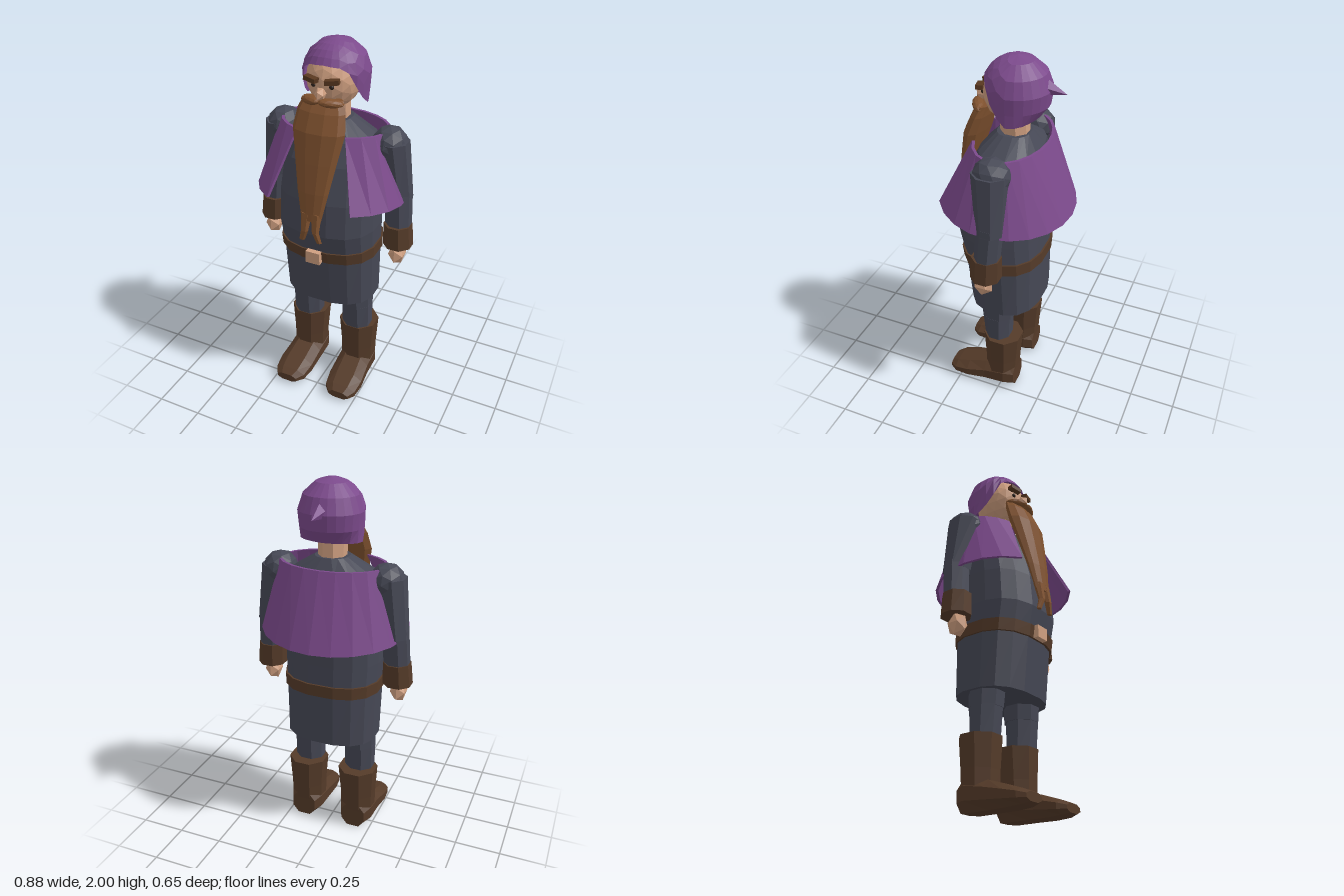
import * as THREE from 'three';

const mat = (name, color, side = THREE.FrontSide) => {
  const m = new THREE.MeshStandardMaterial({ color, flatShading: true, side });
  m.name = name;
  return m;
};

// Skin between cross-sections of equal point count, closed at both ends
function loft(rings) {
  const n = rings[0].length, pos = rings.flat(2), idx = [];
  for (let r = 0; r < rings.length - 1; r++) {
    for (let i = 0; i < n; i++) {
      const a = r * n + i, b = r * n + (i + 1) % n;
      idx.push(a, b, b + n, a, b + n, a + n);
    }
  }
  const top = (rings.length - 1) * n;
  for (let i = 1; i < n - 1; i++) idx.push(0, i + 1, i, top, top + i, top + i + 1);
  const g = new THREE.BufferGeometry();
  g.setAttribute('position', new THREE.Float32BufferAttribute(pos, 3));
  g.setIndex(idx);
  const flat = g.toNonIndexed();
  flat.computeVertexNormals();
  return flat;
}

const soft = (v, p) => Math.sign(v) * Math.abs(v) ** p;

// Horizontal oval section
function ring(n, [x, y, z, rx, rz], p = 1) {
  return Array.from({ length: n }, (_, i) => {
    const a = ((i + 0.5) / n) * Math.PI * 2;
    return [x + rx * soft(Math.sin(a), p), y, z + rz * soft(Math.cos(a), p)];
  });
}

// Column through a list of [x, y, z, rx, rz], bottom to top, on one side
const column = (n, list, s = 1, p = 1) =>
  loft(list.map(([x, ...rest]) => ring(n, [x * s, ...rest], p)));

// Body section from half width, front z and back z
const bodyRing = ([y, rx, zf, zb]) => ring(16, [0, y, (zf + zb) / 2, rx, (zf - zb) / 2], 0.8);

function interpolate(table, v) {
  for (let i = 1; i < table.length; i++) {
    const [a, ya] = table[i - 1], [b, yb] = table[i];
    if (v <= b) return ya + (yb - ya) * (v - a) / (b - a);
  }
  return table[table.length - 1][1];
}

// Cap shell: open over the face, long at the sides and back
function capGeometry() {
  const cols = 24, rows = 5, pos = [], idx = [];
  const edge = [[0, 1.905], [35, 1.895], [50, 1.86], [62, 1.78], [85, 1.695], [180, 1.70]];
  for (let c = 0; c < cols; c++) {
    const deg = (c / cols) * 360, a = THREE.MathUtils.degToRad(deg);
    const end = Math.acos((interpolate(edge, Math.min(deg, 360 - deg)) - 1.83) / 0.17);
    for (let r = 0; r <= rows; r++) {
      const t = (end * r) / rows;
      let f = Math.sin(t);
      if (t > Math.PI / 2) f += (0.97 - f) * Math.sin(a) ** 4;
      pos.push(0.17 * f * Math.sin(a), 1.83 + 0.17 * Math.cos(t), -0.02 + 0.175 * f * Math.cos(a));
    }
  }
  const w = rows + 1;
  for (let c = 0; c < cols; c++) {
    const d = (c + 1) % cols;
    for (let r = 0; r < rows; r++) {
      const p = c * w + r, q = d * w + r;
      idx.push(p + 1, q + 1, q);
      if (r > 0) idx.push(p + 1, q, p);
    }
  }
  const g = new THREE.BufferGeometry();
  g.setAttribute('position', new THREE.Float32BufferAttribute(pos, 3));
  g.setIndex(idx);
  g.computeVertexNormals();
  return g;
}

// Flared shoulder cape, open at the front
function capeGeometry() {
  const sections = [], n = 18, rad = THREE.MathUtils.degToRad;
  for (let i = 0; i <= n; i++) {
    const u = i / n;
    const tt = rad(27 + (360 - 54) * u), tb = rad(35 + (360 - 70) * u);
    const upper = k => [(0.29 - k) * Math.sin(tt), 1.575, (0.19 - k) * Math.cos(tt)];
    const lower = k => {
      const z = 0.03 + (0.355 - k) * Math.cos(tb);
      return [(0.4 - k) * Math.sin(tb), 1.212 + 0.095 * z, z];
    };
    sections.push([lower(0), lower(0.015), upper(0.015), upper(0)]);
  }
  return loft(sections);
}

// Boot foot: oval slices from heel to toe, [z, centre x, half width, bottom, top]
function footGeometry(s) {
  const slices = [
    [-0.085, 0.155, 0.07, 0.005, 0.15], [-0.03, 0.155, 0.095, 0, 0.17], [0.09, 0.155, 0.095, 0, 0.14],
    [0.2, 0.16, 0.1, 0, 0.105], [0.28, 0.162, 0.09, 0.005, 0.078], [0.32, 0.165, 0.06, 0.015, 0.06],
  ];
  return loft(slices.map(([z, x, w, b, t]) => Array.from({ length: 8 }, (_, i) => {
    const a = ((i + 0.5) / 8) * Math.PI * 2;
    return [x * s + w * soft(Math.cos(a), 0.75) * 1.05,
      (b + t) / 2 + ((t - b) / 2) * THREE.MathUtils.clamp(Math.sin(a) * 1.0824, -1, 1), z];
  })));
}

export function createModel() {
  const model = new THREE.Group();
  const purple = mat('purple cloth', 0x7c4a8c);
  const purpleShell = mat('purple cap cloth', 0x7c4a8c, THREE.DoubleSide);
  const coat = mat('slate cloth', 0x464855);
  const leather = mat('brown leather', 0x553b29);
  const hair = mat('ginger hair', 0x80522f);
  const brow = mat('dark hair', 0x593820);
  const skin = mat('skin', 0xcf9f80);
  const eye = mat('eye', 0x2c211c);

  const add = (name, geometry, material, position, rotation, scale) => {
    const m = new THREE.Mesh(geometry, material);
    m.name = name;
    if (position) m.position.set(...position);
    if (rotation) m.rotation.set(...rotation);
    if (scale) m.scale.set(...scale);
    model.add(m);
    return m;
  };
  const ball = (detail = 1) => new THREE.IcosahedronGeometry(1, detail);

  // Coat, belt and cape
  add('coat', loft([
    [0.59, 0.255, 0.21, -0.182], [0.88, 0.26, 0.24, -0.185], [1.05, 0.268, 0.275, -0.182],
    [1.23, 0.265, 0.26, -0.18], [1.42, 0.25, 0.21, -0.172], [1.53, 0.22, 0.155, -0.145],
    [1.61, 0.09, 0.08, -0.09],
  ].map(bodyRing)), coat);
  add('belt', loft([[0.88, 0.27, 0.252, -0.194], [0.945, 0.272, 0.262, -0.194]].map(bodyRing)), leather);
  add('buckle', new THREE.BoxGeometry(0.08, 0.068, 0.03), skin, [0, 0.913, 0.265]);
  add('cape', capeGeometry(), purple);

  // Head and cap
  add('neck', column(8, [[0, 1.57, -0.01, 0.075, 0.075], [0, 1.74, 0, 0.075, 0.075]]), skin);
  add('head', ball(2), skin, [0, 1.81, 0.01], null, [0.137, 0.145, 0.142]);
  add('cap', capGeometry(), purpleShell);
  const tip = new THREE.ConeGeometry(0.05, 0.13, 5);
  add('capTip', tip, purple, [0, 1.853, -0.205], [-Math.PI / 2 - 0.2, 0, 0]);
  add('nose', ball(0), skin, [0, 1.775, 0.165], null, [0.027, 0.035, 0.038]);

  // Beard with a forked end
  add('beard', column(10, [
    [0, 1.15, 0.285, 0.055, 0.02], [0, 1.3, 0.26, 0.085, 0.032], [0, 1.45, 0.225, 0.112, 0.045],
    [0, 1.6, 0.188, 0.14, 0.057], [0, 1.69, 0.155, 0.127, 0.05], [0, 1.745, 0.13, 0.105, 0.035],
  ]), hair);

  for (const s of [1, -1]) {
    const side = s > 0 ? 'left' : 'right';
    const part = (name, ...rest) => add(side + name, ...rest);

    // Face details
    part('Eye', ball(), eye, [0.047 * s, 1.807, 0.14], null, [0.013, 0.012, 0.01]);
    part('Eyebrow', new THREE.BoxGeometry(0.07, 0.022, 0.035), brow,
      [0.055 * s, 1.838, 0.152], [0, 0.25 * s, 0.1 * s]);
    part('Moustache', ball(), hair, [0.055 * s, 1.738, 0.165], [0, 0.5 * s, -0.12 * s], [0.065, 0.022, 0.03]);
    part('BeardFork', column(6, [
      [0.048, 1.03, 0.295, 0.016, 0.011], [0.03, 1.09, 0.3, 0.02, 0.017], [0.027, 1.19, 0.28, 0.031, 0.024],
    ], s), hair);

    // Arm
    part('Shoulder', ball(), coat, [0.293 * s, 1.508, -0.008], null, [0.092, 0.092, 0.098]);
    part('UpperArm', column(8, [[0.345, 1.22, -0.02, 0.078, 0.075], [0.308, 1.53, -0.005, 0.085, 0.095]], s), coat);
    part('Forearm', column(8, [[0.365, 1.0, 0, 0.07, 0.066], [0.348, 1.26, -0.018, 0.072, 0.07]], s), coat);
    part('Cuff', column(8, [[0.367, 0.945, 0.003, 0.08, 0.082], [0.36, 1.07, 0, 0.074, 0.08]], s), leather);
    part('Hand', ball(0), skin, [0.37 * s, 0.895, 0.018], null, [0.047, 0.066, 0.058]);

    // Leg and boot
    part('Thigh', column(8, [[0.15, 0.51, 0.03, 0.088, 0.092], [0.145, 0.68, 0.035, 0.098, 0.102]], s), coat);
    part('Shin', column(8, [[0.153, 0.33, 0.028, 0.085, 0.075], [0.153, 0.515, 0.032, 0.086, 0.088]], s), coat);
    part('BootShaft', column(8, [
      [0.155, 0.07, 0.005, 0.098, 0.095], [0.155, 0.2, 0.003, 0.1, 0.1], [0.153, 0.37, 0, 0.112, 0.112],
    ], s), leather);
    part('BootFoot', footGeometry(s), leather);
  }
  return model;
}
